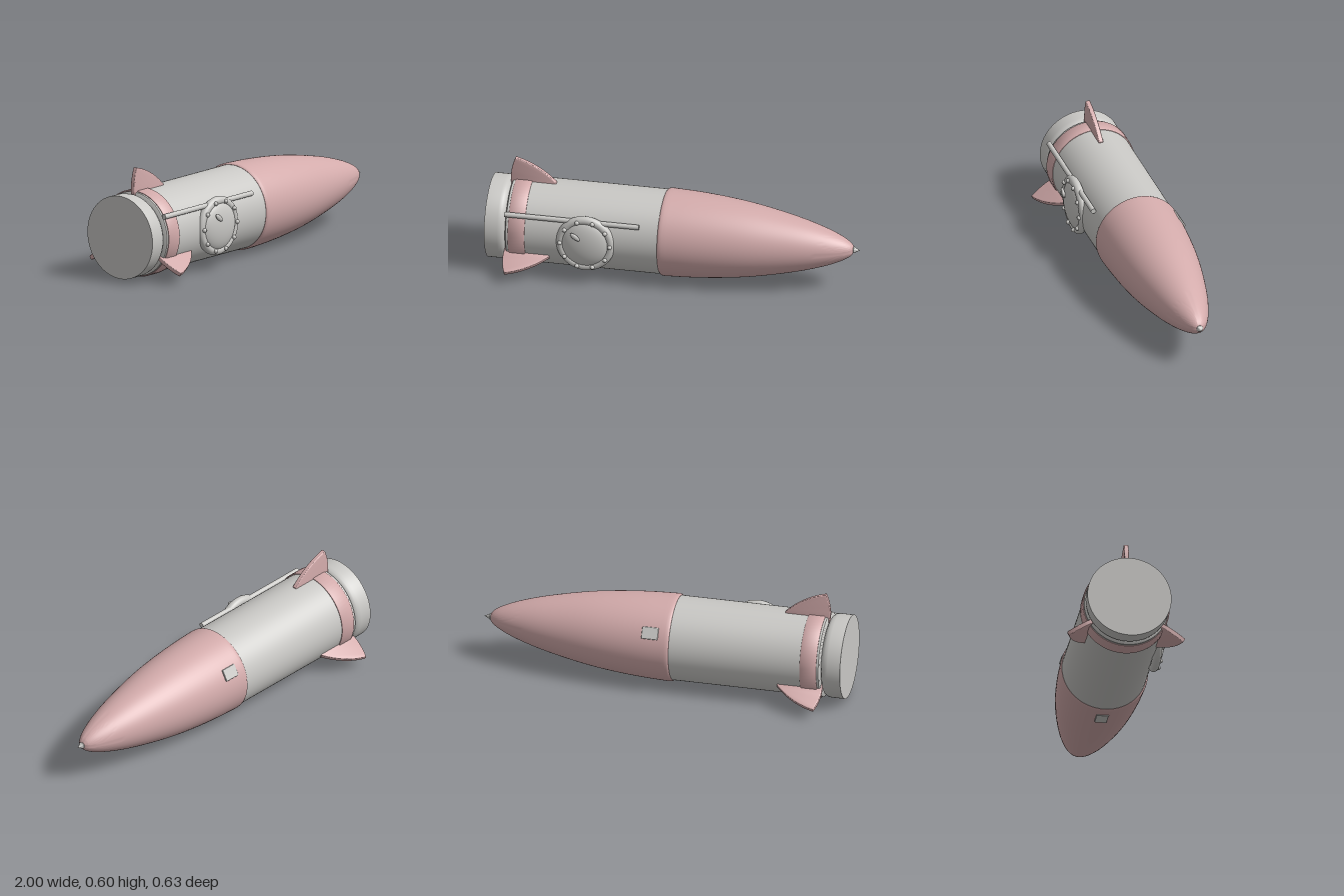
import * as THREE from 'three';
import { toCreasedNormals } from 'three/addons/utils/BufferGeometryUtils.js';
import { RoundedBoxGeometry } from 'three/addons/geometries/RoundedBoxGeometry.js';

export function createModel() {
  const pink = new THREE.MeshStandardMaterial({ name: 'dusty pink', color: 0xd3abab });
  const grey = new THREE.MeshStandardMaterial({ name: 'light grey', color: 0xc9c8c5 });

  // The rocket is built around the x axis, then lifted
  const rocket = new THREE.Group();
  rocket.name = 'rocket';
  rocket.position.y = 0.24;

  const add = (name, geometry, material, parent = rocket) => {
    const mesh = new THREE.Mesh(geometry, material);
    mesh.name = name;
    parent.add(mesh);
    return mesh;
  };

  // Solid of revolution along x from [x, radius] pairs
  const turned = (name, profile, material) => {
    const points = profile.map(([x, r]) => new THREE.Vector2(r, x));
    const geometry = toCreasedNormals(new THREE.LatheGeometry(points, 72), 0.7);
    return add(name, geometry.rotateZ(-Math.PI / 2), material);
  };

  // Hull
  turned('tailCap', [[-1, 0], [-1, 0.226], [-0.93, 0.226], [-0.912, 0.223],
    [-0.898, 0.214], [-0.89, 0.198], [-0.888, 0.17], [-0.888, 0]], grey);
  turned('body', [[-0.888, 0], [-0.888, 0.22], [-0.882, 0.228], [-0.05, 0.228], [-0.05, 0]], grey);
  turned('tailBand', [[-0.87, 0.2], [-0.87, 0.231], [-0.865, 0.235],
    [-0.785, 0.235], [-0.78, 0.231], [-0.78, 0.2]], pink);

  // Nose: smooth ogive behind a small rounded lip
  const ogive = new THREE.SplineCurve([[-0.035, 0.2365], [0.1, 0.231], [0.25, 0.219], [0.4, 0.2],
    [0.55, 0.172], [0.7, 0.137], [0.82, 0.1], [0.9, 0.067], [0.945, 0.04], [0.962, 0.022]]
    .map(([x, r]) => new THREE.Vector2(x, r))).getPoints(40).map((p) => [p.x, p.y]);
  turned('nose', [[-0.06, 0], [-0.06, 0.229], [-0.055, 0.234], [-0.048, 0.236],
    ...ogive, [0.967, 0]], pink);
  turned('noseTip', [[0.955, 0], [0.96, 0.016], [0.968, 0.018], [0.975, 0.013],
    [0.985, 0.007], [1, 0]], grey);

  // Three fins
  const b = 0.005;
  const outline = new THREE.Shape();
  outline.moveTo(-0.89, 0.2);
  outline.lineTo(-0.893, 0.245);
  outline.quadraticCurveTo(-0.89, 0.31, -0.87, 0.355);
  outline.quadraticCurveTo(-0.75, 0.325, -0.655, 0.23);
  outline.lineTo(-0.655, 0.2);
  outline.closePath();
  const finGeometry = toCreasedNormals(new THREE.ExtrudeGeometry(outline, {
    depth: 0.026 - 2 * b, bevelThickness: b, bevelSize: b, bevelSegments: 3, curveSegments: 16,
  }).translate(0, 0, b - 0.013), 0.6);
  for (let i = 0; i < 3; i++) {
    add('fin' + (i + 1), finGeometry, pink).rotation.x = (i * Math.PI * 2) / 3;
  }

  // Small plates behind the nose lip: underneath and upper back
  const plateGeometry = new RoundedBoxGeometry(0.09, 0.012, 0.066, 3, 0.004).translate(0.045, 0.234, 0);
  [Math.PI, -Math.PI / 3].forEach((angle, i) => {
    add('nosePlate' + (i + 1), plateGeometry, grey).rotation.x = angle;
  });

  // Side rail
  const rail = add('rail', new THREE.CylinderGeometry(0.014, 0.014, 0.73, 24), grey);
  rail.rotation.z = Math.PI / 2;
  rail.position.set(-0.525, 0.124, 0.212);

  // Porthole with rim, domed pane, rivets and a raised glint
  const porthole = new THREE.Group();
  porthole.name = 'porthole';
  porthole.position.set(-0.45, 0, 0.216);
  rocket.add(porthole);
  add('rim', new THREE.TorusGeometry(0.136, 0.024, 20, 64), grey, porthole);
  add('pane', new THREE.SphereGeometry(1, 48, 32).scale(0.135, 0.135, 0.049), grey, porthole);
  const rivetGeometry = new THREE.SphereGeometry(0.012, 16, 12);
  for (let i = 0; i < 10; i++) {
    const a = (i * Math.PI) / 5;
    add('rivet' + (i + 1), rivetGeometry, grey, porthole)
      .position.set(0.136 * Math.cos(a), 0.136 * Math.sin(a), 0.025);
  }
  const glint = add('glint', new THREE.SphereGeometry(1, 24, 16).scale(0.032, 0.014, 0.009), grey, porthole);
  glint.position.set(-0.047, 0.058, 0.052);
  glint.rotation.z = -0.65;

  const model = new THREE.Group();
  model.name = 'model';
  model.add(rocket);
  return model;
}
